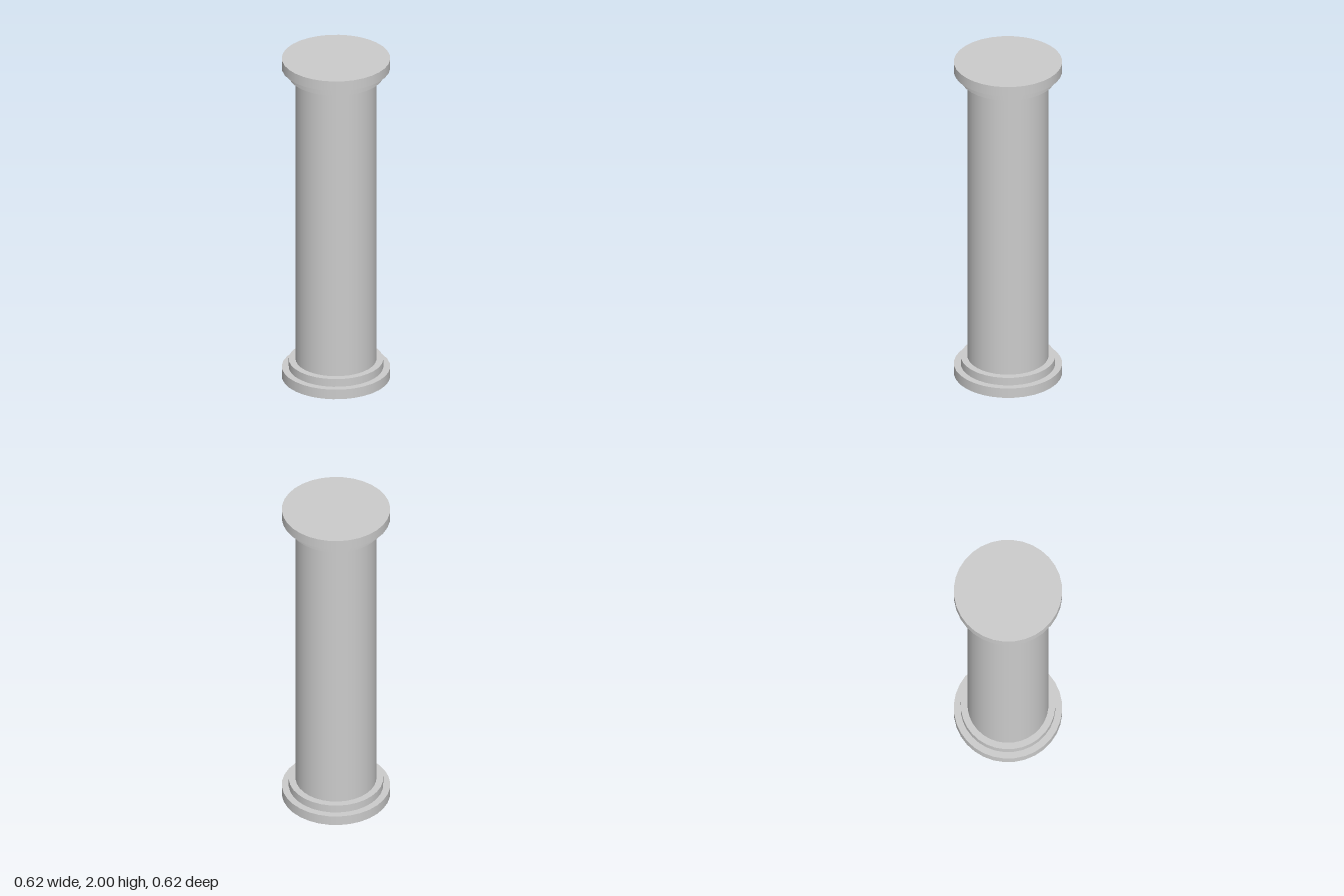
import * as THREE from 'three';

const SIDES = 32;
const HEIGHT = 2;
const PLINTH = { radius: 0.308, height: 0.06 };
const COLLAR = { radius: 0.269, height: 0.048 };
const SHAFT_RADIUS = 0.23;

export function createModel() {
  const group = new THREE.Group();
  group.name = 'column';
  const material = new THREE.MeshStandardMaterial({ color: 0xcccccc });

  // A round drum standing from y = bottom to y = top
  const addDrum = (name, radius, bottom, top) => {
    const geometry = new THREE.CylinderGeometry(radius, radius, top - bottom, SIDES);
    const mesh = new THREE.Mesh(geometry, material);
    mesh.name = name;
    mesh.position.y = (bottom + top) / 2;
    group.add(mesh);
  };

  const collarEnd = PLINTH.height + COLLAR.height;

  // Stepped base
  addDrum('basePlinth', PLINTH.radius, 0, PLINTH.height);
  addDrum('baseCollar', COLLAR.radius, PLINTH.height, collarEnd);

  // Plain shaft
  addDrum('shaft', SHAFT_RADIUS, collarEnd, HEIGHT - collarEnd);

  // Stepped capital, mirroring the base
  addDrum('capitalCollar', COLLAR.radius, HEIGHT - collarEnd, HEIGHT - PLINTH.height);
  addDrum('capitalSlab', PLINTH.radius, HEIGHT - PLINTH.height, HEIGHT);

  return group;
}
